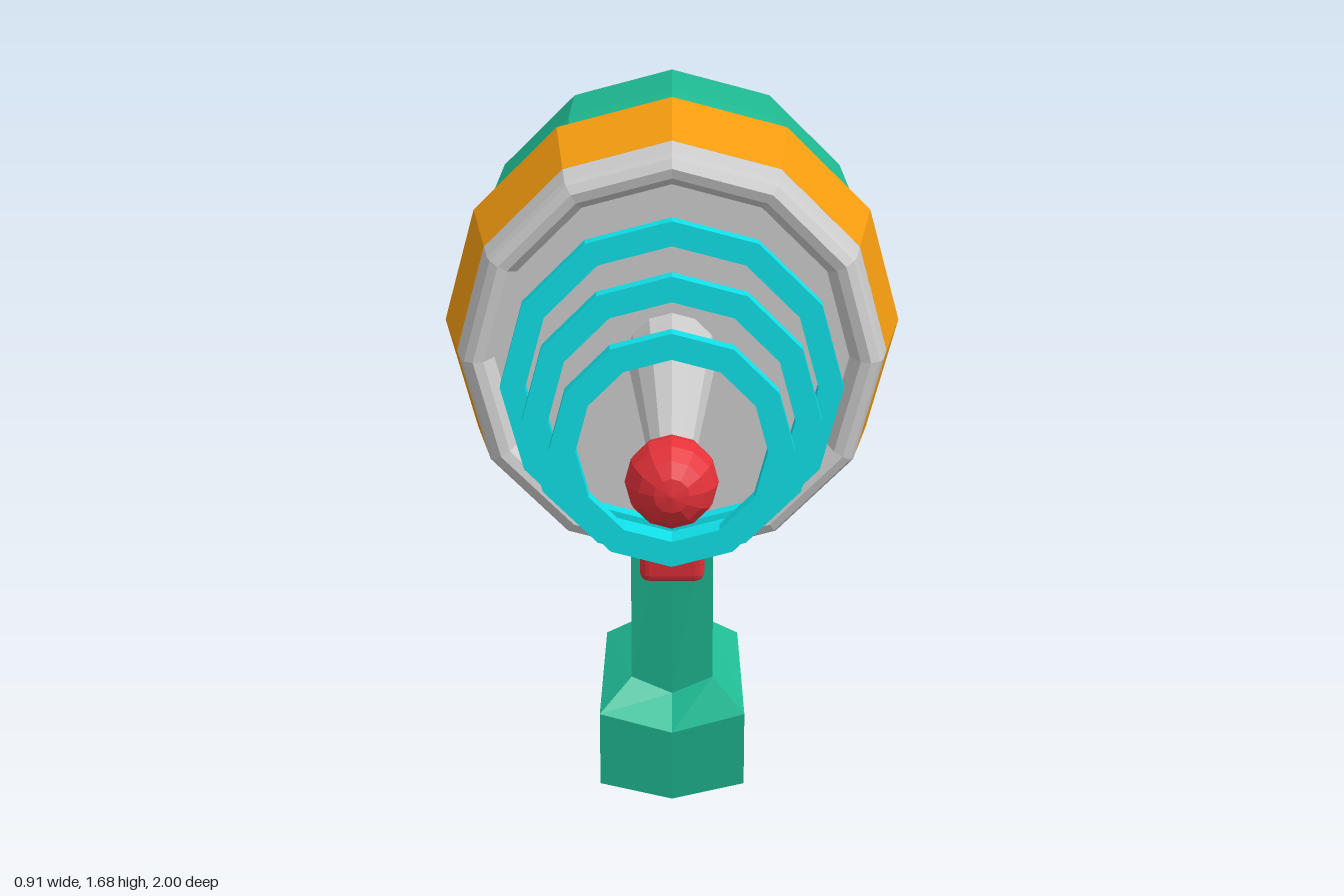
import * as THREE from 'three';
import { RoundedBoxGeometry } from 'three/addons/geometries/RoundedBoxGeometry.js';

const AXIS_Y = 1.23;
const mat = (color) => new THREE.MeshStandardMaterial({ color, flatShading: true });

export function createModel() {
  const group = new THREE.Group();
  const green = mat(0x1fb992), orange = mat(0xf59c10), grey = mat(0xcccccc);
  const cyan = mat(0x10dfe8), red = mat(0xe6323a);

  const add = (name, geometry, material, x = 0, y = 0, z = 0) => {
    const mesh = new THREE.Mesh(geometry, material);
    mesh.name = name;
    mesh.position.set(x, y, z);
    group.add(mesh);
    return mesh;
  };

  // Twelve-sided turned part along the barrel axis; profile is [radius, z] from back to front
  const turn = (name, profile, material) => {
    const pts = profile.map(([r, z]) => new THREE.Vector2(r, z));
    add(name, new THREE.LatheGeometry(pts, 12).rotateX(Math.PI / 2), material, 0, AXIS_Y);
  };

  turn('body', [[0, -1], [0.17, -0.955], [0.295, -0.83], [0.37, -0.68], [0.41, -0.5],
    [0.422, -0.26], [0.405, -0.06], [0.395, 0]], green);

  turn('collar', [[0.39, -0.03], [0.41, -0.065], [0.44, -0.077], [0.452, -0.07], [0.456, -0.05],
    [0.42, 0.157], [0.38, 0.157]], orange);

  // Muzzle with a shallow dished face
  turn('muzzle', [[0.38, 0.15], [0.42, 0.155], [0.41, 0.215], [0.403, 0.23], [0.385, 0.24],
    [0.365, 0.235], [0.345, 0.2], [0, 0.2]], grey);

  turn('barrelRod', [[0.09, 0.19], [0.085, 0.24], [0.035, 0.87]], grey);

  // Emitter rings: [outer radius, z]
  for (const [r, z] of [[0.325, 0.38], [0.275, 0.575], [0.22, 0.745]]) {
    const a = z - 0.015, b = z + 0.015, inner = r - 0.048;
    turn('emitterRing', [[inner, a], [r, a], [r, b], [inner, b], [inner, a]], cyan);
  }

  add('tipBall', new THREE.SphereGeometry(0.082, 12, 8).rotateX(Math.PI / 2), red, 0, AXIS_Y, 0.916);

  // Grip: lofted six-point sections, each with a centre line dropped by "dip"
  const sections = [
    { yf: 0.86, zf: -0.355, yb: 0.885, zb: -0.63, wf: 0.18, wb: 0.18, dip: 0 },
    { yf: 0.76, zf: -0.395, yb: 0.76, zb: -0.63, wf: 0.09, wb: 0.09, dip: 0 },
    { yf: 0.275, zf: -0.455, yb: 0.305, zb: -0.71, wf: 0.09, wb: 0.09, dip: 0.04 },
    { yf: 0.22, zf: -0.372, yb: 0.27, zb: -0.725, wf: 0.16, wb: 0.15, dip: 0.045 },
    { yf: 0.04, zf: -0.398, yb: 0.1, zb: -0.75, wf: 0.16, wb: 0.155, dip: 0.038 },
  ];
  const pos = [], idx = [];
  for (const s of sections) {
    for (const x of [-1, 0, 1]) pos.push(x * s.wf, s.yf - (x ? 0 : s.dip), s.zf);
    for (const x of [1, 0, -1]) pos.push(x * s.wb, s.yb - (x ? 0 : s.dip), s.zb);
  }
  for (let i = 0; i < sections.length - 1; i++) {
    for (let j = 0; j < 6; j++) {
      const a = i * 6 + j, b = i * 6 + (j + 1) % 6;
      idx.push(a, a + 6, b, b, a + 6, b + 6);
    }
  }
  const e = (sections.length - 1) * 6;
  // Top and bottom caps, two quads each
  for (const [p, q, r, s] of [[0, 1, 4, 5], [1, 2, 3, 4]]) {
    idx.push(p, q, r, p, r, s);
    idx.push(e + p, e + r, e + q, e + p, e + s, e + r);
  }
  const grip = new THREE.BufferGeometry();
  grip.setAttribute('position', new THREE.Float32BufferAttribute(pos, 3));
  grip.setIndex(idx);
  const gripGeo = grip.toNonIndexed();
  gripGeo.computeVertexNormals();
  add('grip', gripGeo, green);

  const trigger = add('trigger', new RoundedBoxGeometry(0.14, 0.175, 0.1, 2, 0.02), red, 0, 0.635, -0.378);
  trigger.rotation.x = 0.16;

  return group;
}
